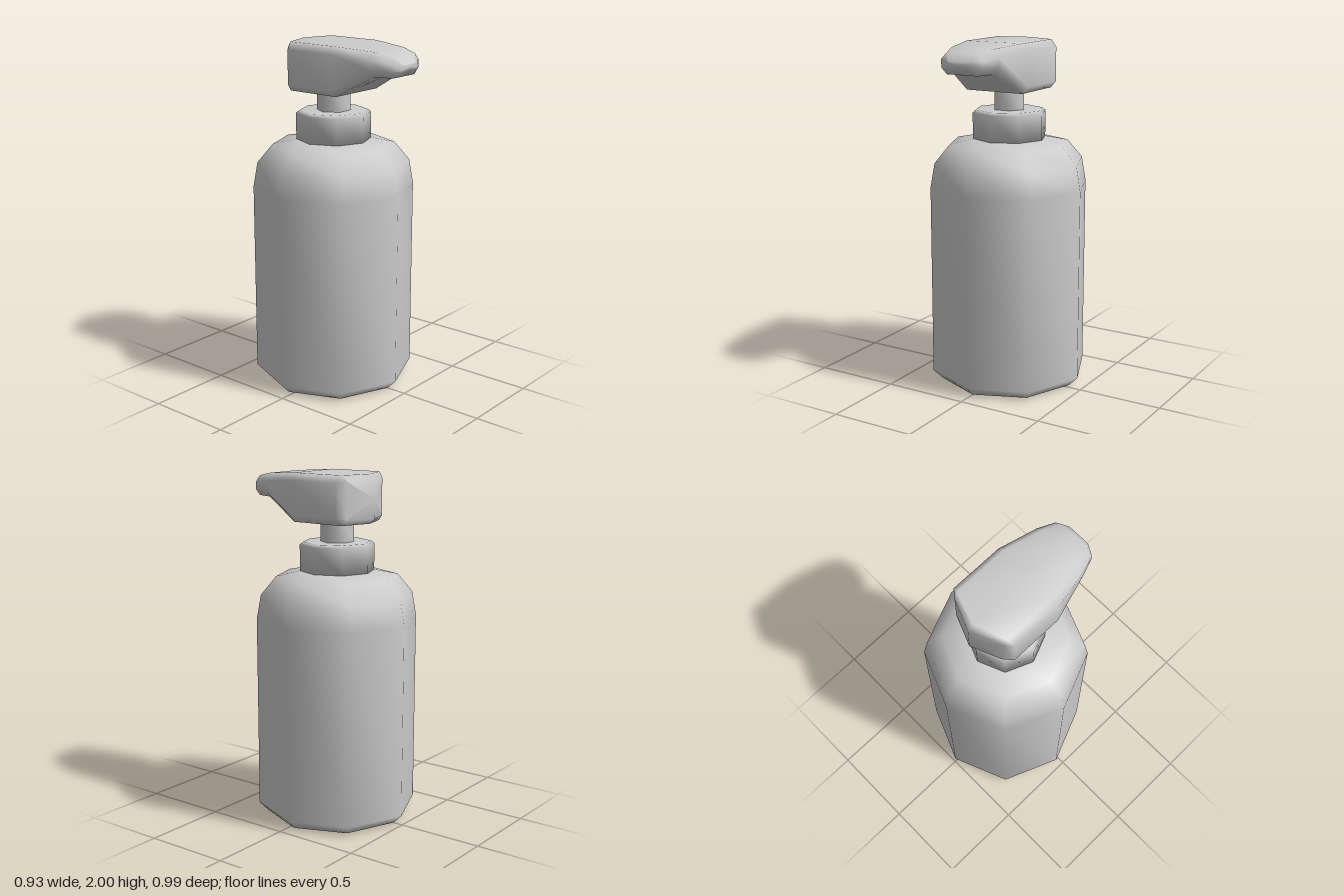
import * as THREE from 'three';
import { mergeVertices } from 'three/addons/utils/BufferGeometryUtils.js';

const AXIS_Z = -0.03;
const material = new THREE.MeshStandardMaterial({ color: 0xcccccc });

// Weld the seams so the shading is smooth all over
function smooth(geometry) {
  geometry.deleteAttribute('uv');
  geometry.deleteAttribute('normal');
  const welded = mergeVertices(geometry, 1e-4);
  welded.computeVertexNormals();
  return welded;
}

// Faceted turned part around the bottle axis
function turned(name, sides, profile, turn = 0) {
  const points = profile.map(([r, y]) => new THREE.Vector2(r, y));
  const mesh = new THREE.Mesh(smooth(new THREE.LatheGeometry(points, sides, turn)), material);
  mesh.position.z = AXIS_Z;
  mesh.name = name;
  return mesh;
}

// Pump head lofted from chamfered rectangles running back to front
function pumpHead() {
  // z at the sides, half width, top, bottom, chamfer, extra depth at the middle
  const sections = [
    [-0.22, 0.17, 1.97, 1.755, 0.004, 0.07],
    [-0.18, 0.22, 2.0, 1.725, 0.04, 0.075],
    [0.135, 0.22, 2.0, 1.725, 0.04, 0],
    [0.36, 0.17, 1.985, 1.85, 0.04, 0],
    [0.46, 0.132, 1.965, 1.85, 0.035, 0],
    [0.497, 0.07, 1.925, 1.885, 0.006, 0],
  ];
  const positions = [];
  const index = [];
  const n = 10;
  for (const [z, w, top, bottom, c, peak] of sections) {
    const half = [[0, top], [w - c, top], [w, top - c], [w, bottom + c], [w - c, bottom], [0, bottom]];
    const mirrored = half.slice(1, 5).reverse().map(([x, y]) => [-x, y]);
    for (const [x, y] of [...half, ...mirrored]) {
      positions.push(x, y, z - peak * (1 - Math.abs(x) / w));
    }
  }
  const last = (sections.length - 1) * n;
  const back = sections.length * n;
  positions.push(0, 1.8625, -0.29, 0, 1.905, 0.497); // centres of the end caps
  for (let j = 0; j < n; j++) {
    const k = (j + 1) % n;
    for (let r = 0; r < last; r += n) {
      index.push(r + j, r + n + j, r + k, r + k, r + n + j, r + n + k);
    }
    index.push(back, j, k, back + 1, last + k, last + j);
  }
  const geometry = new THREE.BufferGeometry();
  geometry.setAttribute('position', new THREE.Float32BufferAttribute(positions, 3));
  geometry.setIndex(index);
  geometry.computeVertexNormals();
  const mesh = new THREE.Mesh(geometry, material);
  mesh.name = 'pumpHead';
  return mesh;
}

export function createModel() {
  const group = new THREE.Group();
  group.name = 'soapDispenser';
  group.add(
    // Octagonal bottle with rounded shoulder
    turned('bottle', 8, [[0, 0], [0.41, 0], [0.465, 0.055], [0.465, 1.17], [0.44, 1.31],
      [0.352, 1.415], [0.2, 1.447], [0, 1.447]]),
    // Collar screwed on the neck
    turned('collar', 8, [[0, 1.44], [0.215, 1.44], [0.215, 1.595], [0.195, 1.61], [0, 1.61]]),
    // Six-sided stem, corners to the left and right
    turned('stem', 6, [[0.097, 1.6], [0.097, 1.74]], Math.PI / 2),
    pumpHead(),
  );
  return group;
}
